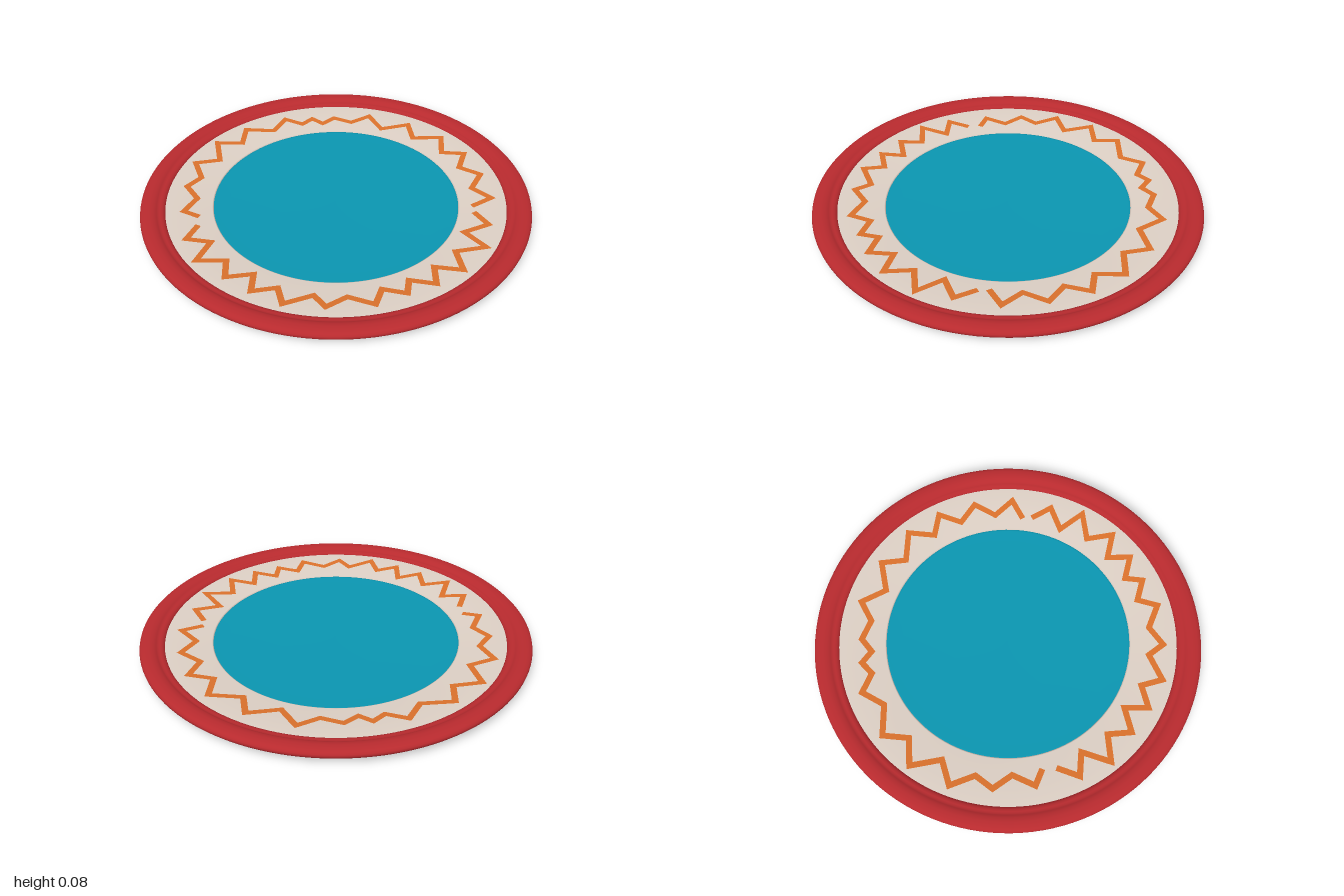
import * as THREE from 'three';

const mat = (name, color) => Object.assign(new THREE.MeshStandardMaterial({ color }), { name });

// Closed profile (bottom outward, then top inward) turned around the y axis
function turned(name, profile, material) {
  const pts = profile.map(([r, y]) => new THREE.Vector2(r, y));
  const mesh = new THREE.Mesh(new THREE.LatheGeometry(pts, 128), material);
  mesh.name = name;
  return mesh;
}

// Height of the cream band, under and over
const under = r => 0.012 + (r - 0.63) * 0.085;
const over = r => 0.026 + (r - 0.63) * 0.085;

// Painted mitred ribbon that follows the sloping band
function ribbon(name, flat, width, height, material) {
  const p = [];
  for (let i = 0; i < flat.length; i += 2) p.push(new THREE.Vector2(flat[i], flat[i + 1]));
  const edges = p.map((c, i) => {
    const a = c.clone().sub(p[Math.max(i - 1, 0)]).normalize();
    const b = p[Math.min(i + 1, p.length - 1)].clone().sub(c).normalize();
    const nb = i < p.length - 1 ? new THREE.Vector2(-b.y, b.x) : new THREE.Vector2(-a.y, a.x);
    const na = i > 0 ? new THREE.Vector2(-a.y, a.x) : nb;
    const m = na.clone().add(nb).normalize();
    m.multiplyScalar(width / 2 / Math.max(m.dot(nb), 0.55));
    return [c.clone().add(m), c.clone().sub(m)];
  });
  const pos = [], index = [], steps = 4;
  for (let i = 0; i < edges.length - 1; i++) {
    for (let s = 0; s <= steps; s++) {
      for (const k of [0, 1]) {
        const v = edges[i][k].clone().lerp(edges[i + 1][k], s / steps);
        pos.push(v.x, height(v.length()), v.y);
      }
      if (s < steps) {
        const o = pos.length / 3 - 2;
        index.push(o, o + 1, o + 2, o + 1, o + 3, o + 2);
      }
    }
  }
  const g = new THREE.BufferGeometry();
  g.setAttribute('position', new THREE.Float32BufferAttribute(pos, 3));
  // Wind every triangle upward
  for (let i = 0; i < index.length; i += 3) {
    const [a, b, c] = [index[i] * 3, index[i + 1] * 3, index[i + 2] * 3];
    const ny = (pos[b + 2] - pos[a + 2]) * (pos[c] - pos[a]) - (pos[b] - pos[a]) * (pos[c + 2] - pos[a + 2]);
    if (ny < 0) [index[i + 1], index[i + 2]] = [index[i + 2], index[i + 1]];
  }
  g.setIndex(index);
  g.computeVertexNormals();
  const mesh = new THREE.Mesh(g, material);
  mesh.name = name;
  return mesh;
}

export function createModel() {
  const red = mat('red glaze', 0xb82a2e);
  const cream = mat('cream glaze', 0xdccfc4);
  const teal = mat('teal glaze', 0x0a95b0);
  const orange = mat('orange paint', 0xda712c);
  orange.side = THREE.DoubleSide;

  const plate = new THREE.Group();
  plate.name = 'plate';

  // Centre well, slightly sunk below the band
  plate.add(turned('well', [
    [0, 0], [0.2, 0.001], [0.4, 0.004], [0.55, 0.008], [0.62, 0.011], [0.637, 0.014],
    [0.637, 0.022], [0.625, 0.021], [0.55, 0.019], [0.3, 0.017], [0, 0.016],
  ], teal));

  // Sloping cream band
  plate.add(turned('band', [
    [0.634, under(0.634)], [0.75, under(0.75)], [0.89, under(0.89)],
    [0.89, over(0.89)], [0.75, over(0.75)], [0.64, over(0.64)], [0.634, 0.024], [0.634, under(0.634)],
  ], cream));

  // Rolled rim with a small inner bead
  plate.add(turned('rim', [
    [0.875, 0.036], [0.885, 0.031], [0.9, 0.031], [0.912, 0.035], [0.925, 0.032], [0.95, 0.03],
    [0.975, 0.031], [0.99, 0.036], [0.998, 0.045], [1, 0.053], [0.998, 0.061], [0.99, 0.069],
    [0.975, 0.075], [0.95, 0.077], [0.93, 0.074], [0.917, 0.067], [0.909, 0.061], [0.9, 0.062],
    [0.888, 0.06], [0.878, 0.053], [0.875, 0.045], [0.875, 0.036],
  ], red));

  // Hand-drawn zigzag as x, z pairs: back arc and front arc, with gaps at the sides
  const back = [
    -0.7, 0.12, -0.78, 0.08, -0.72, -0.03, -0.78, -0.13, -0.71, -0.21, -0.75, -0.34, -0.62, -0.37,
    -0.64, -0.53, -0.5, -0.53, -0.48, -0.66, -0.32, -0.65, -0.25, -0.76, -0.15, -0.71, -0.09, -0.76,
    -0.03, -0.71, 0.04, -0.76, 0.14, -0.71, 0.25, -0.76, 0.31, -0.63, 0.47, -0.65, 0.48, -0.52,
    0.64, -0.5, 0.62, -0.36, 0.74, -0.33, 0.69, -0.21, 0.79, -0.13, 0.72, -0.02, 0.8, 0.08, 0.69, 0.13,
  ];
  const front = [
    -0.7, 0.19, -0.75, 0.3, -0.63, 0.32, -0.69, 0.46, -0.55, 0.46, -0.55, 0.58, -0.42, 0.56,
    -0.43, 0.68, -0.31, 0.66, -0.29, 0.77, -0.15, 0.72, -0.1, 0.8, 0, 0.74, 0.12, 0.8,
    0.16, 0.7, 0.27, 0.74, 0.29, 0.65, 0.41, 0.69, 0.42, 0.57, 0.55, 0.61, 0.54, 0.47,
    0.69, 0.46, 0.61, 0.33, 0.74, 0.29, 0.69, 0.18,
  ];
  for (const [arc, points] of [['back', back], ['front', front]]) {
    plate.add(ribbon(`${arc} zigzag above`, points, 0.03, r => over(r) + 0.002, orange));
    plate.add(ribbon(`${arc} zigzag below`, points, 0.03, r => under(r) - 0.002, orange));
  }
  return plate;
}
